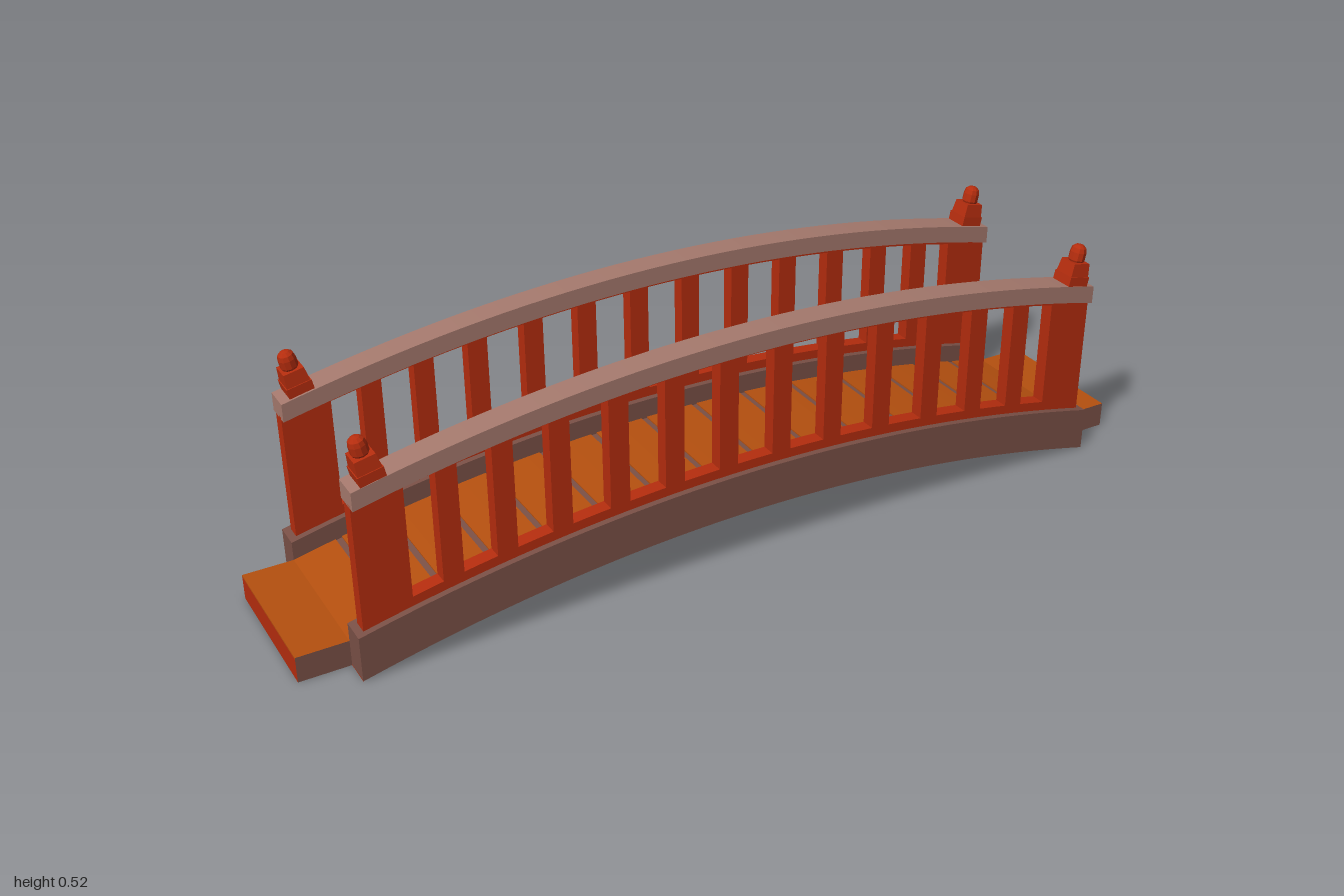
import * as THREE from 'three';

const mat = (color) => {
  const m = new THREE.MeshStandardMaterial();
  m.color.set(color);
  return m;
};

// Arched height line: y = end at |x| = half, y = mid at x = 0, flat beyond
const arch = (half, end, mid) => (x) => end + (mid - end) * Math.max(0, 1 - (x / half) ** 2);
const raise = (f, d) => (x) => f(x) + d;

// Closed outline between two height lines from x0 to x1
function outline(low, high, x0, x1, steps, breaks = []) {
  const xs = [...breaks];
  for (let i = 0; i <= steps; i++) xs.push(x0 + ((x1 - x0) * i) / steps);
  xs.sort((a, b) => a - b);
  return [
    ...xs.map((x) => new THREE.Vector2(x, low(x))),
    ...xs.reverse().map((x) => new THREE.Vector2(x, high(x))),
  ];
}

function slab(name, points, z0, z1, material, holes = []) {
  const shape = new THREE.Shape(points);
  shape.holes = holes.map((h) => new THREE.Path(h));
  const geo = new THREE.ExtrudeGeometry(shape, { depth: z1 - z0, bevelEnabled: false });
  geo.translate(0, 0, z0);
  const mesh = new THREE.Mesh(geo, material);
  mesh.name = name;
  return mesh;
}

export function createModel() {
  const model = new THREE.Group();
  model.name = 'archedFootbridge';

  const red = mat(0xb52d0e);
  const plankColor = mat(0xb5500f);
  const beamColor = mat(0x7a5046);
  const railColor = mat(0xa5796d);

  const under = arch(0.89, 0, 0.11);
  const deckTop = arch(0.89, 0.058, 0.163);
  const beamTop = arch(0.89, 0.1, 0.206);
  const railLow = arch(0.875, 0.38, 0.484);
  const railTop = arch(0.875, 0.42, 0.523);

  // Baluster centres; the plank joints line up with them
  const half = [0.064, 0.191, 0.317, 0.446, 0.567, 0.683];
  const bars = [...half.map((x) => -x).reverse(), ...half];
  const joints = [-0.79, ...bars, 0.79];

  // Deck body with flat landings at both ends
  const core = slab('deckBody', outline(under, raise(deckTop, -0.004), -1, 1, 40, [-0.89, 0.89]),
    -0.162, 0.162, [beamColor, red]);
  model.add(core);

  // Planks with narrow dark joints between them
  const edges = [-1, ...joints, 1];
  for (let i = 0; i < edges.length - 1; i++) {
    const a = edges[i] + (i === 0 ? 0 : 0.007);
    const b = edges[i + 1] - (i === edges.length - 2 ? 0 : 0.007);
    const kink = [-0.89, 0.89].filter((x) => x > a && x < b);
    model.add(slab('plank', outline(raise(deckTop, -0.004), deckTop, a, b, 4, kink),
      -0.162, 0.162, [beamColor, plankColor]));
  }
  for (const x of joints) {
    model.add(slab('plankJoint', outline(raise(deckTop, -0.004), raise(deckTop, -0.003), x - 0.007, x + 0.007, 1),
      -0.162, 0.162, beamColor));
  }

  // Red underside reaching across both side beams
  for (const s of [-1, 1]) {
    const z = [s * 0.162, s * 0.222].sort((a, b) => a - b);
    model.add(slab('beamSoffit', outline(under, raise(under, 0.002), -0.89, 0.89, 36), ...z, [beamColor, red]));
  }

  // Openings between the balusters and the end posts
  const openings = [];
  const stops = [-0.77, ...bars, 0.77];
  for (let i = 0; i < stops.length - 1; i++) {
    const a = stops[i] + (i === 0 ? 0 : 0.022);
    const b = stops[i + 1] - (i === stops.length - 2 ? 0 : 0.022);
    openings.push(outline(raise(beamTop, 0.021), raise(railLow, -0.01), a, b, 2));
  }

  for (const s of [-1, 1]) {
    const side = new THREE.Group();
    side.name = s > 0 ? 'frontSide' : 'backSide';
    const span = (a, b) => (s > 0 ? [a, b] : [-b, -a]);

    side.add(slab('sideBeam', outline(raise(under, 0.002), beamTop, -0.89, 0.89, 36), ...span(0.162, 0.222), beamColor));
    side.add(slab('balustrade', outline(raise(beamTop, -0.003), raise(railLow, 0.004), -0.875, 0.875, 36),
      ...span(0.176, 0.208), red, openings));
    side.add(slab('handrail', outline(railLow, railTop, -0.875, 0.875, 36), ...span(0.162, 0.222), railColor));

    // Finials stand square to the sloping rail near each end
    for (const e of [-1, 1]) {
      const finial = new THREE.Group();
      finial.name = 'finial';
      const add = (name, geo, y) => {
        const m = new THREE.Mesh(geo, red);
        m.name = name;
        m.position.y = y;
        finial.add(m);
      };
      add('finialBase', new THREE.BoxGeometry(0.054, 0.03, 0.054), 0.01);
      const block = new THREE.CylinderGeometry(0.044 / Math.SQRT2, 0.05 / Math.SQRT2, 0.03, 4, 1).toNonIndexed();
      block.rotateY(Math.PI / 4);
      block.computeVertexNormals();
      add('finialBlock', block, 0.04);
      const knob = [[0.015, 0], [0.0185, 0.006], [0.0185, 0.024], [0.016, 0.034], [0.009, 0.04], [0, 0.042]];
      const head = new THREE.LatheGeometry(knob.map(([r, y]) => new THREE.Vector2(r, y)), 10).toNonIndexed();
      head.computeVertexNormals();
      add('finialHead', head, 0.053);
      finial.position.set(e * 0.828, 0.427, s * 0.194);
      finial.rotation.z = -e * 0.21;
      side.add(finial);
    }
    model.add(side);
  }
  return model;
}
